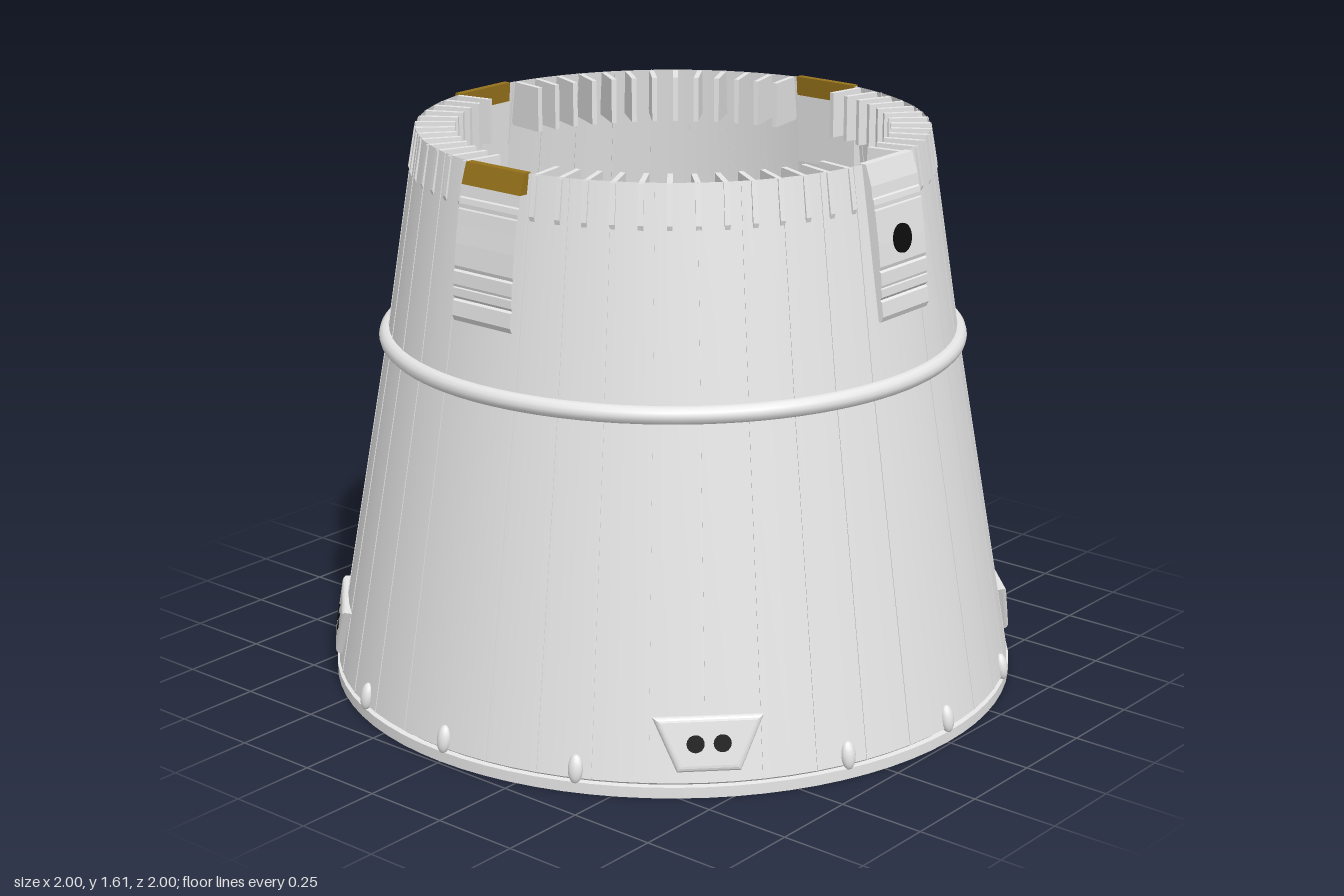
import * as THREE from 'three';
import { mergeGeometries } from 'three/addons/utils/BufferGeometryUtils.js';

const mat = (name, color, side = THREE.FrontSide) => {
  const m = new THREE.MeshStandardMaterial({ color, side });
  m.name = name;
  return m;
};
const V = (x, y) => new THREE.Vector2(x, y);
const rad = THREE.MathUtils.degToRad;

export function createModel() {
  const root = new THREE.Group();
  root.name = 'conicalAdapter';

  const grey = mat('light grey', 0xe6e6e6, THREE.DoubleSide);
  const tan = mat('tan', 0xdeae72, THREE.DoubleSide);
  const gold = mat('gold', 0x94711a);
  const black = mat('black', 0x0c0c0c);

  const add = (name, geo, material, parent = root) => {
    const mesh = new THREE.Mesh(geo, material);
    mesh.name = name;
    parent.add(mesh);
    return mesh;
  };
  // Group whose local +z points outward at the given angle around the axis
  const station = (name, deg) => {
    const g = new THREE.Group();
    g.name = name;
    g.rotation.y = rad(deg);
    root.add(g);
    return g;
  };
  const lathe = pts => new THREE.LatheGeometry(pts.map(p => V(...p)), 80);
  // Extrude a (radius, height) outline sideways, centred on local x
  const slab = (pts, width) => {
    const g = new THREE.ExtrudeGeometry(new THREE.Shape(pts.map(p => V(...p))),
      { depth: width, bevelEnabled: false });
    return g.translate(0, 0, -width / 2).rotateY(-Math.PI / 2);
  };

  // Thin open wall in two conical courses, with a grooved base band below
  const base = [0.984, 0.041], mid = [0.814, 1.01], top = [0.72, 1.61];
  add('lowerWall', lathe([base, mid]), grey);
  add('upperWall', lathe([mid, top]), grey);
  add('baseBand', lathe([[0.99, 0], [0.99, 0.031]]), grey);
  add('baseLedge', lathe([[0.99, 0.031], [0.974, 0.033]]), grey);
  add('baseGroove', lathe([[0.974, 0.033], base]), grey);
  add('beltRing', new THREE.TorusGeometry(0.814, 0.025, 12, 96).rotateX(Math.PI / 2)
    .translate(0, 1.012, 0), grey);

  // Tan bulkhead: sloping skirt and shallow domed crown
  const domeCurve = new THREE.SplineCurve([V(0.984, 0.004), V(0.8, 0.145), V(0.63, 0.27),
    V(0.5, 0.34), V(0.25, 0.405), V(0.001, 0.425)]);
  add('bulkheadDome', new THREE.LatheGeometry(domeCurve.getPoints(24), 80), tan);

  // Hairline raised seams between wall panels
  const seams = [];
  const seam = (a, b, deg) => {
    const dr = b[0] - a[0], dy = b[1] - a[1];
    const g = new THREE.BoxGeometry(0.003, Math.hypot(dr, dy), 0.004);
    g.rotateX(Math.atan2(dr, dy));
    g.translate(0, (a[1] + b[1]) / 2, (a[0] + b[0]) / 2);
    seams.push(g.rotateY(rad(deg)));
  };
  for (let k = 0; k < 40; k++) {
    if (k % 10 === 0) continue;
    seam(base, mid, k * 9);
    seam(mid, top, k * 9);
  }
  add('panelSeams', mergeGeometries(seams), grey);

  // Radial fins inside the rim, thirteen between each pair of hatches
  const fins = [];
  for (let q = 0; q < 4; q++) {
    for (let i = 0; i < 13; i++) {
      const fin = slab([[0.61, 1.475], [0.735, 1.475], [0.743, 1.5], [0.724, 1.608], [0.61, 1.608]], 0.015);
      fins.push(fin.rotateY(rad(q * 90 + 10 + i * 70 / 12)));
    }
  }
  add('rimFins', mergeGeometries(fins), grey);

  // Four hatches on the upper wall with shallow steps; three have a gold cap
  const hatchBody = [[0.71, 1.555], [0.72, 1.35], [0.745, 1.19], [0.788, 1.19], [0.795, 1.205],
    [0.79, 1.245], [0.783, 1.25], [0.789, 1.258], [0.788, 1.28], [0.785, 1.283], [0.787, 1.29],
    [0.785, 1.325], [0.779, 1.33], [0.782, 1.34], [0.775, 1.4], [0.767, 1.45], [0.761, 1.49],
    [0.758, 1.494], [0.758, 1.505], [0.755, 1.52], [0.751, 1.524], [0.747, 1.555]];
  const hatchCap = [[0.705, 1.612], [0.71, 1.555], [0.747, 1.555], [0.728, 1.612]];
  [['front', 0, 0.025], ['left', 90, 0], ['back', 180, 0.015], ['right', 270, 0]].forEach(([n, deg, dx]) => {
    const g = station(n + 'Hatch', deg);
    add('hatchBody', slab(hatchBody, 0.21).translate(dx, 0, 0), grey, g);
    add('hatchCap', slab(hatchCap, 0.21).translate(dx, 0, 0), n === 'front' ? grey : gold, g);
    if (n === 'front') {
      const port = add('hatchPort', new THREE.CylinderGeometry(0.04, 0.04, 0.009, 24), black, g);
      port.position.set(dx, 1.4, 0.775);
      port.rotation.x = Math.PI / 2 - 0.14;
    }
  });

  // Rounded trapezoid thruster pods near the diagonals, lying along the wall slope
  const podShape = new THREE.Shape([V(-0.074, -0.06), V(0.074, -0.06), V(0.128, 0.06), V(-0.128, 0.06)]);
  for (let i = 0; i < 4; i++) {
    const pod = new THREE.Group();
    pod.name = 'podTilt';
    pod.position.set(0, 0.15, 0.964);
    pod.rotation.x = -Math.atan2(base[0] - mid[0], mid[1] - base[1]);
    station('thrusterPod', 45.4 + i * 90).add(pod);
    add('podHousing', new THREE.ExtrudeGeometry(podShape, {
      depth: 0.025, bevelThickness: 0.013, bevelSize: 0.018, bevelSegments: 4,
    }).translate(0, 0, -0.02), grey, pod);
    for (const s of [-1, 1]) {
      const nozzle = add('nozzle', new THREE.CylinderGeometry(0.024, 0.024, 0.008, 20), black, pod);
      nozzle.rotation.x = Math.PI / 2;
      nozzle.position.set(s * 0.036, 0, 0.0165);
    }
  }

  // Rounded lugs around the base, three per quarter
  for (let q = 0; q < 4; q++) {
    for (const deg of [0.4, 24.5, 68.5]) {
      const lug = add('baseLug', new THREE.SphereGeometry(1, 14, 10).scale(0.021, 0.04, 0.018),
        grey, station('baseLugStation', q * 90 + deg));
      lug.position.set(0, 0.066, 0.981);
      lug.rotation.x = -0.17;
    }
  }
  return root;
}
